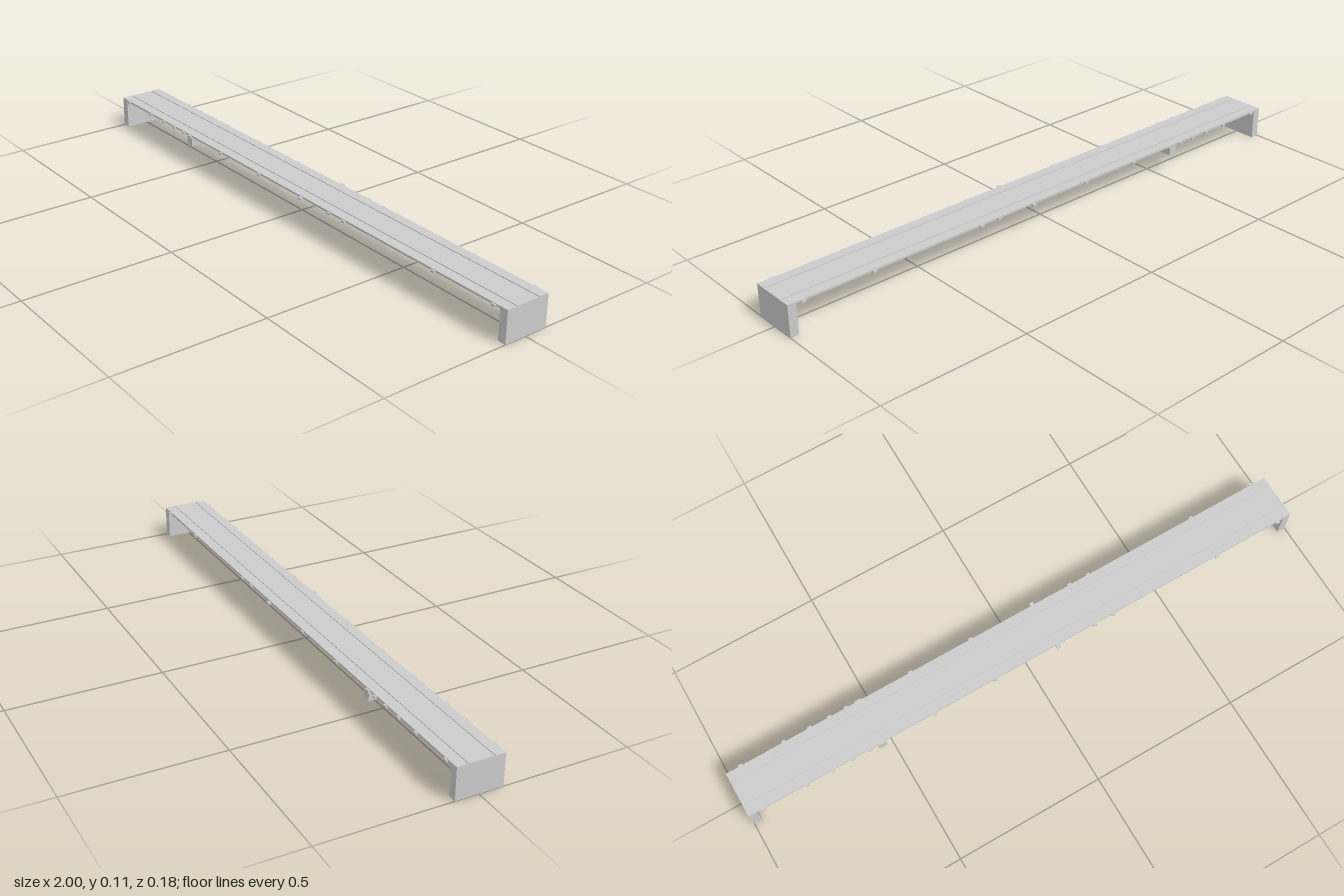
import * as THREE from 'three';

export function createModel() {
  const model = new THREE.Group();
  const material = new THREE.MeshStandardMaterial({ color: 0xcccccc, flatShading: true });

  // Everything sits on a very slightly turned long axis.
  const bench = new THREE.Group();
  bench.name = 'bench';
  bench.rotation.y = 0.002;
  model.add(bench);

  // Box given by its lower and upper corners.
  function block(name, [x0, y0, z0], [x1, y1, z1]) {
    const mesh = new THREE.Mesh(new THREE.BoxGeometry(x1 - x0, y1 - y0, z1 - z0), material);
    mesh.position.set((x0 + x1) / 2, (y0 + y1) / 2, (z0 + z1) / 2);
    mesh.name = name;
    bench.add(mesh);
  }

  const halfWidth = 0.0775;
  const top = 0.107;
  const under = 0.1;

  // Deck: cross-section with two shallow grooves, extruded along x.
  const section = new THREE.Shape();
  section.moveTo(-halfWidth, under);
  section.lineTo(halfWidth, under);
  section.lineTo(halfWidth, top);
  for (const z of [0.042, -0.042]) {
    section.lineTo(z + 0.0025, top);
    section.lineTo(z + 0.0025, top - 0.0025);
    section.lineTo(z - 0.0025, top - 0.0025);
    section.lineTo(z - 0.0025, top);
  }
  section.lineTo(-halfWidth, top);
  const deckGeometry = new THREE.ExtrudeGeometry(section, { depth: 2, bevelEnabled: false });
  deckGeometry.translate(0, 0, -1).rotateY(Math.PI / 2);
  const deck = new THREE.Mesh(deckGeometry, material);
  deck.name = 'groovedDeck';
  bench.add(deck);

  // End supports
  block('leftSupport', [0.972, 0, -halfWidth], [1, under, halfWidth]);
  block('rightSupport', [-1, 0, -halfWidth], [-0.972, under, halfWidth]);

  // Cross beam under the deck
  block('crossBeam', [-0.551, 0.072, -0.083], [-0.523, under, 0.083]);

  // Small pegs along both edges
  const pegs = [-0.95, -0.8, -0.71, -0.64, -0.58, -0.54, -0.35, -0.13, 0.1, 0.24, 0.31, 0.71, 0.95];
  for (const x of pegs) {
    const reach = x === 0.1 ? 0.0885 : 0.0835;
    for (const side of [-1, 1]) {
      const z = [side * (halfWidth - 0.002), side * reach].sort((a, b) => a - b);
      block('edgePeg', [x - 0.007, 0.098, z[0]], [x + 0.007, 0.105, z[1]]);
    }
  }
  return model;
}
